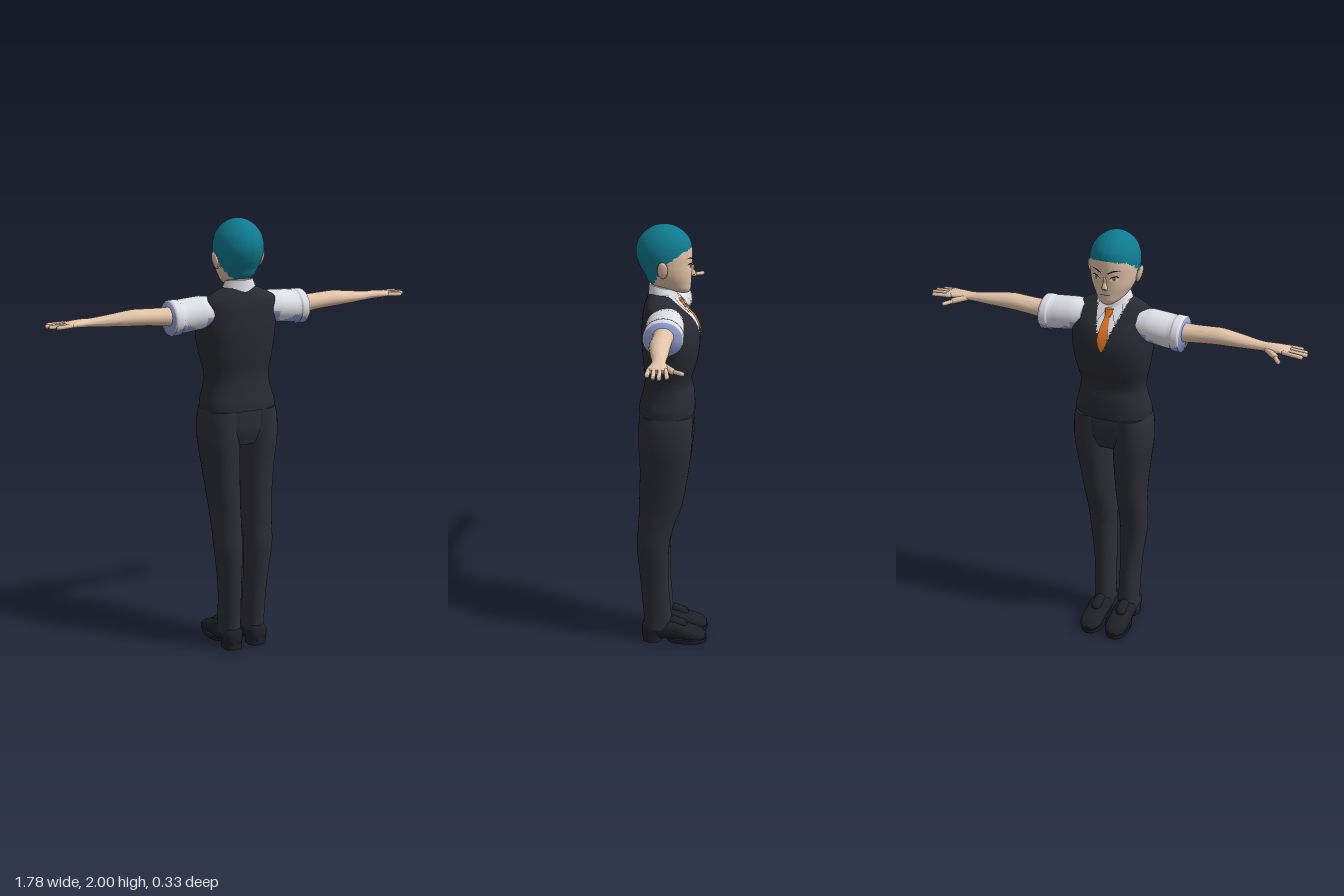
import * as THREE from 'three';
import { toCreasedNormals, mergeVertices } from 'three/addons/utils/BufferGeometryUtils.js';

const flat = (name, color, side = THREE.FrontSide) => {
  const m = new THREE.MeshStandardMaterial({ color, side });
  m.name = name;
  return m;
};

// Section values [y, cx, cz, rx, rz] at height y, smooth or straight between the given rows
function at(rows, y, smooth = true) {
  let i = 0;
  while (i < rows.length - 2 && y > rows[i + 1][0]) i++;
  const a = rows[i], b = rows[i + 1], h = b[0] - a[0], t = (y - a[0]) / h;
  const p = rows[Math.max(i - 1, 0)], q = rows[Math.min(i + 2, rows.length - 1)];
  return a.map((v, k) => {
    if (k === 0) return y;
    if (!smooth) return v + (b[k] - v) * t;
    const m0 = (b[k] - p[k]) / (b[0] - p[0]) * h, m1 = (q[k] - v) / (q[0] - a[0]) * h;
    const t2 = t * t, t3 = t2 * t;
    return v * (2 * t3 - 3 * t2 + 1) + m0 * (t3 - 2 * t2 + t) + b[k] * (3 * t2 - 2 * t3) + m1 * (t3 - t2);
  });
}

// Closed body through oval sections stacked along y
function loft(rows, { n = 32, steps = 6, smooth = true, pow = 2 } = {}) {
  const rings = [];
  rows.slice(0, -1).forEach((r, i) => {
    for (let k = 0; k < steps; k++) {
      rings.push(at(rows, r[0] + (rows[i + 1][0] - r[0]) * k / steps, smooth));
    }
  });
  rings.push(rows[rows.length - 1]);
  const pos = [], idx = [], e = (v) => Math.sign(v) * Math.abs(v) ** (2 / pow);
  for (const [y, cx, cz, rx, rz] of rings) {
    for (let j = 0; j < n; j++) {
      const a = j / n * Math.PI * 2;
      pos.push(cx + rx * e(Math.cos(a)), y, cz + rz * e(Math.sin(a)));
    }
  }
  for (let i = 0; i < rings.length - 1; i++) {
    for (let j = 0; j < n; j++) {
      const a = i * n + j, b = i * n + (j + 1) % n;
      idx.push(a, a + n, b, b, a + n, b + n);
    }
  }
  const low = rings[0], top = rings[rings.length - 1], c = rings.length * n, last = c - n;
  pos.push(low[1], low[0], low[2], top[1], top[0], top[2]);
  for (let j = 0; j < n; j++) {
    const k = (j + 1) % n;
    idx.push(c, j, k, c + 1, last + k, last + j);
  }
  const g = new THREE.BufferGeometry();
  g.setAttribute('position', new THREE.Float32BufferAttribute(pos, 3));
  g.setIndex(idx);
  return g;
}
// Lofts lying along x ([x, cy, cz, ry, rz]) and along -z ([-z, cx, cy, rx, ry])
const loftX = (rows, o) => loft(rows.map(([x, y, ...r]) => [x, -y, ...r]), o).rotateZ(-Math.PI / 2);
const loftZ = (rows, o) => loft(rows, o).rotateX(-Math.PI / 2);

function flip(g) {
  const ix = g.index.array;
  for (let i = 0; i < ix.length; i += 3) [ix[i], ix[i + 1]] = [ix[i + 1], ix[i]];
  return g;
}
const bare = (g) => {
  for (const k of Object.keys(g.attributes)) if (k !== 'position') g.deleteAttribute(k);
  return mergeVertices(g, 1e-6);
};

// Sort faces into material groups with rule(x, y, z) -> material number
function paint(g, rule) {
  const ix = g.index.array, p = g.attributes.position, sets = [];
  for (let i = 0; i < ix.length; i += 3) {
    const f = [ix[i], ix[i + 1], ix[i + 2]];
    const mid = (get) => f.reduce((s, v) => s + p[get](v), 0) / 3;
    const k = rule(mid('getX'), mid('getY'), mid('getZ'));
    (sets[k] ||= []).push(...f);
  }
  g.setIndex(sets.flat());
  let start = 0;
  sets.forEach((s, k) => { g.addGroup(start, s.length, k); start += s.length; });
  return g;
}

function capsule(a, b, r) {
  const A = new THREE.Vector3(...a), B = new THREE.Vector3(...b), d = B.clone().sub(A);
  const q = new THREE.Quaternion().setFromUnitVectors(new THREE.Vector3(0, 1, 0), d.clone().normalize());
  return new THREE.CapsuleGeometry(r, d.length(), 5, 12).applyQuaternion(q).translate(...A.add(B).multiplyScalar(0.5).toArray());
}

export function createModel() {
  const model = new THREE.Group();
  model.name = 'standingFigure';
  const hair = flat('tealHair', 0x0f7a90), skin = flat('skin', 0xe3c4a8), vest = flat('vestCloth', 0x292a32);
  const cloth = flat('trouserCloth', 0x2c2d36), leather = flat('shoeLeather', 0x1f2026);
  const shirt = flat('shirtWhite', 0xe4e4ec, THREE.DoubleSide), shade = flat('shirtBlue', 0x93a2d8);
  const orange = flat('orange', 0xe87722), black = flat('black', 0x15151a);

  const add = (name, geo, mat, crease = 0.8) => {
    const mesh = new THREE.Mesh(toCreasedNormals(geo, crease), mat);
    mesh.name = name;
    model.add(mesh);
  };
  const pair = (name, geo, mat, crease) => {
    const g = bare(geo);
    add(name + 'Left', g, mat, crease);
    add(name + 'Right', flip(g.clone().scale(-1, 1, 1)), mat, crease);
  };

  // Head, with the hair as part of its surface
  const headRows = [[1.7, 0, -0.045, 0.028, 0.027], [1.715, 0, -0.025, 0.05, 0.053], [1.74, 0, 0.01, 0.073, 0.09],
    [1.78, 0, 0.021, 0.094, 0.104], [1.83, 0, 0.034, 0.107, 0.118], [1.88, 0, 0.039, 0.111, 0.124],
    [1.93, 0, 0.038, 0.1, 0.114], [1.965, 0, 0.038, 0.076, 0.087], [1.988, 0, 0.038, 0.046, 0.053],
    [1.997, 0, 0.038, 0.023, 0.026], [2, 0, 0.038, 0.002, 0.002]];
  const hairline = [[1.7, 0.09], [1.76, 0.075], [1.83, 0.035], [1.85, 0.015], [1.885, -0.035], [1.91, -0.1], [2, -0.6]];
  add('headAndHair', paint(loft(headRows, { n: 72, steps: 7 }), (x, y, z) =>
    z > at(hairline, y, false)[1] + 0.005 * Math.sin(y * 300) ? 1 : 0), [skin, hair], 1.2);
  pair('ear', new THREE.SphereGeometry(1, 16, 12).scale(0.011, 0.04, 0.023).rotateZ(-0.25).translate(0.113, 1.82, 0.038), skin);
  add('nose', loft([[1.772, 0, -0.08, 0.012, 0.008], [1.782, 0, -0.084, 0.013, 0.017], [1.8, 0, -0.082, 0.008, 0.011],
    [1.83, 0, -0.08, 0.005, 0.006]], { n: 14, steps: 3 }), skin, 1.2);
  add('neck', loft([[1.62, 0, 0.045, 0.055, 0.055], [1.77, 0, 0.04, 0.052, 0.056]], { steps: 1 }), skin);

  // Painted face details laid over the head curve
  const frontZ = (rows, x, y, pow = 2) => {
    const [, , cz, rx, rz] = at(rows, y);
    return cz - rz * Math.max(0, 1 - Math.abs(x / rx) ** pow) ** (1 / pow);
  };
  const patch = (pts, rows, off, pow) => {
    const g = new THREE.ShapeGeometry(new THREE.Shape(pts.map((p) => new THREE.Vector2(...p))));
    const p = g.attributes.position;
    for (let i = 0; i < p.count; i++) p.setZ(i, frontZ(rows, p.getX(i), p.getY(i), pow) - off);
    return flip(g);
  };
  const oval = (cx, cy, rx, ry) => Array.from({ length: 14 }, (_, i) =>
    [cx + rx * Math.cos(i * Math.PI / 7), cy + ry * Math.sin(i * Math.PI / 7)]);
  pair('eyeWhite', patch([[0.022, 1.821], [0.032, 1.815], [0.052, 1.816], [0.062, 1.828], [0.05, 1.835], [0.032, 1.832]], headRows, 0.003), shirt);
  pair('iris', patch(oval(0.042, 1.825, 0.008, 0.009), headRows, 0.0045), orange);
  pair('pupil', patch(oval(0.042, 1.825, 0.003, 0.004), headRows, 0.006), black);
  pair('lash', patch([[0.02, 1.823], [0.034, 1.831], [0.05, 1.834], [0.066, 1.829], [0.052, 1.841], [0.034, 1.837]], headRows, 0.0055), black);
  pair('brow', patch([[0.014, 1.845], [0.04, 1.858], [0.07, 1.862], [0.042, 1.865], [0.014, 1.852]], headRows, 0.004), black);
  add('mouth', patch([[-0.024, 1.745], [0, 1.747], [0.024, 1.745], [0.024, 1.748], [0, 1.75], [-0.024, 1.748]], headRows, 0.004), black);

  // Vest with the shirt showing in its V neck
  const torso = [[1.15, 0, 0.027, 0.176, 0.128], [1.18, 0, 0.025, 0.174, 0.126], [1.24, 0, 0.02, 0.158, 0.116],
    [1.3, 0, 0.02, 0.151, 0.106], [1.4, 0, 0.011, 0.172, 0.124], [1.5, 0, 0.01, 0.186, 0.13],
    [1.58, 0, 0.02, 0.185, 0.116], [1.64, 0, 0.042, 0.178, 0.085], [1.67, 0, 0.05, 0.135, 0.066], [1.7, 0, 0.05, 0.07, 0.052]];
  add('vest', paint(loft(torso, { n: 120, steps: 9, pow: 2.3 }), (x, y, z) =>
    z < 0.03 && Math.abs(x) < (y - 1.49) * 0.36 ? 1 : 0), [vest, shirt]);
  const collar = loft([[1.66, 0, 0.04, 0.088, 0.074], [1.7, 0, 0.042, 0.078, 0.066], [1.735, 0, 0.045, 0.062, 0.06]],
    { steps: 3 });
  const cp = collar.attributes.position;
  for (let i = 0; i < cp.count; i++) cp.setY(i, cp.getY(i) - Math.max(0, 0.08 - cp.getZ(i)) * 0.22);
  add('collar', collar, shirt);
  pair('collarWing', patch([[0.008, 1.668], [0.055, 1.69], [0.06, 1.66], [0.044, 1.61]], torso, 0.009, 2.3), shirt);

  // Tie: a strip following the chest, with a knot
  const tie = new THREE.PlaneGeometry(2, 0.165, 4, 16).translate(0, 1.5775, 0);
  const tp = tie.attributes.position, tieWidth = [[1.49, 0.002], [1.53, 0.022], [1.56, 0.025], [1.635, 0.012], [1.67, 0.02]];
  for (let i = 0; i < tp.count; i++) {
    const y = tp.getY(i), x = tp.getX(i) * at(tieWidth, y, false)[1];
    tp.setXYZ(i, x, y, frontZ(torso, x, y, 2.3) - 0.008);
  }
  add('tie', flip(tie), orange);
  add('tieKnot', loft([[1.63, 0, -0.05, 0.011, 0.012], [1.665, 0, -0.03, 0.02, 0.014]], { n: 12, steps: 1 }), orange);

  // Rolled sleeves with blue undersides and cuff openings
  const sleeve = loftX([[0.13, 1.592, 0.022, 0.066, 0.076], [0.18, 1.592, 0.022, 0.073, 0.083], [0.25, 1.585, 0.02, 0.075, 0.084],
    [0.29, 1.581, 0.02, 0.075, 0.084], [0.294, 1.58, 0.02, 0.079, 0.088], [0.328, 1.578, 0.02, 0.079, 0.088],
    [0.333, 1.578, 0.02, 0.074, 0.083]], { n: 40, steps: 4, smooth: false });
  pair('sleeve', paint(sleeve, (x, y, z) =>
    y < 1.542 + 0.012 * Math.sin(x * 45 + z * 20) || x > 0.3325 || x < 0.185 && y < 1.58 ? 1 : 0), [shirt, shade]);

  // Arms, hands and fingers
  pair('arm', loftX([[0.28, 1.585, 0.02, 0.045, 0.05], [0.36, 1.588, 0.02, 0.04, 0.045], [0.44, 1.594, 0.02, 0.037, 0.045],
    [0.5, 1.597, 0.021, 0.036, 0.045], [0.6, 1.594, 0.015, 0.027, 0.037], [0.69, 1.592, 0.009, 0.019, 0.028],
    [0.73, 1.593, 0.007, 0.018, 0.034], [0.78, 1.593, 0.009, 0.014, 0.042], [0.81, 1.592, 0.01, 0.01, 0.04]],
  { n: 24, steps: 4 }), skin);
  [[-0.027, -0.036, 0.868], [-0.003, -0.006, 0.882], [0.02, 0.018, 0.875], [0.042, 0.044, 0.85]].forEach(([z0, z1, x], i) =>
    pair('finger' + (i + 1), capsule([0.79, 1.593, z0], [x, 1.59, z1], 0.0095), skin));
  pair('thumbBase', capsule([0.715, 1.588, -0.012], [0.762, 1.58, -0.05], 0.0135), skin);
  pair('thumbTip', capsule([0.76, 1.58, -0.05], [0.788, 1.578, -0.092], 0.0095), skin);

  // Trousers
  add('hips', loft([[0.99, 0, 0.03, 0.12, 0.1], [1.05, 0, 0.028, 0.172, 0.118], [1.1, 0, 0.026, 0.18, 0.122],
    [1.165, 0, 0.026, 0.17, 0.12]], { n: 48, pow: 2.3 }), cloth);
  pair('trouserLeg', loft([[0.07, 0.063, 0.07, 0.05, 0.066], [0.12, 0.062, 0.069, 0.049, 0.066], [0.3, 0.066, 0.082, 0.051, 0.066],
    [0.5, 0.077, 0.088, 0.063, 0.076], [0.6, 0.078, 0.073, 0.065, 0.083], [0.7, 0.08, 0.053, 0.067, 0.099],
    [0.88, 0.088, 0.034, 0.08, 0.112], [1.0, 0.095, 0.029, 0.089, 0.121], [1.1, 0.093, 0.027, 0.09, 0.122],
    [1.15, 0.088, 0.026, 0.085, 0.12]], { n: 32, pow: 2.2 }), cloth);

  // Shoes: upper, tongue, sole and heel
  pair('shoeUpper', loftZ([[-0.142, 0.063, 0.055, 0.03, 0.034], [-0.125, 0.063, 0.06, 0.044, 0.047], [-0.05, 0.063, 0.062, 0.047, 0.05],
    [0.01, 0.063, 0.058, 0.049, 0.048], [0.07, 0.064, 0.046, 0.053, 0.036], [0.13, 0.065, 0.035, 0.048, 0.026],
    [0.158, 0.065, 0.029, 0.025, 0.014]], { n: 28, steps: 4, pow: 2.4 }), leather, 1);
  pair('shoeTongue', capsule([0.063, 0.1, -0.002], [0.064, 0.083, -0.045], 0.026), leather);
  pair('sole', loft([[0, 0.064, -0.07, 0.051, 0.092], [0.022, 0.064, -0.07, 0.054, 0.096]], { steps: 1, pow: 2.4 }), leather);
  pair('heel', loft([[0, 0.063, 0.095, 0.044, 0.045], [0.05, 0.063, 0.093, 0.046, 0.048]], { steps: 1, pow: 2.8 }), leather);

  return model;
}
